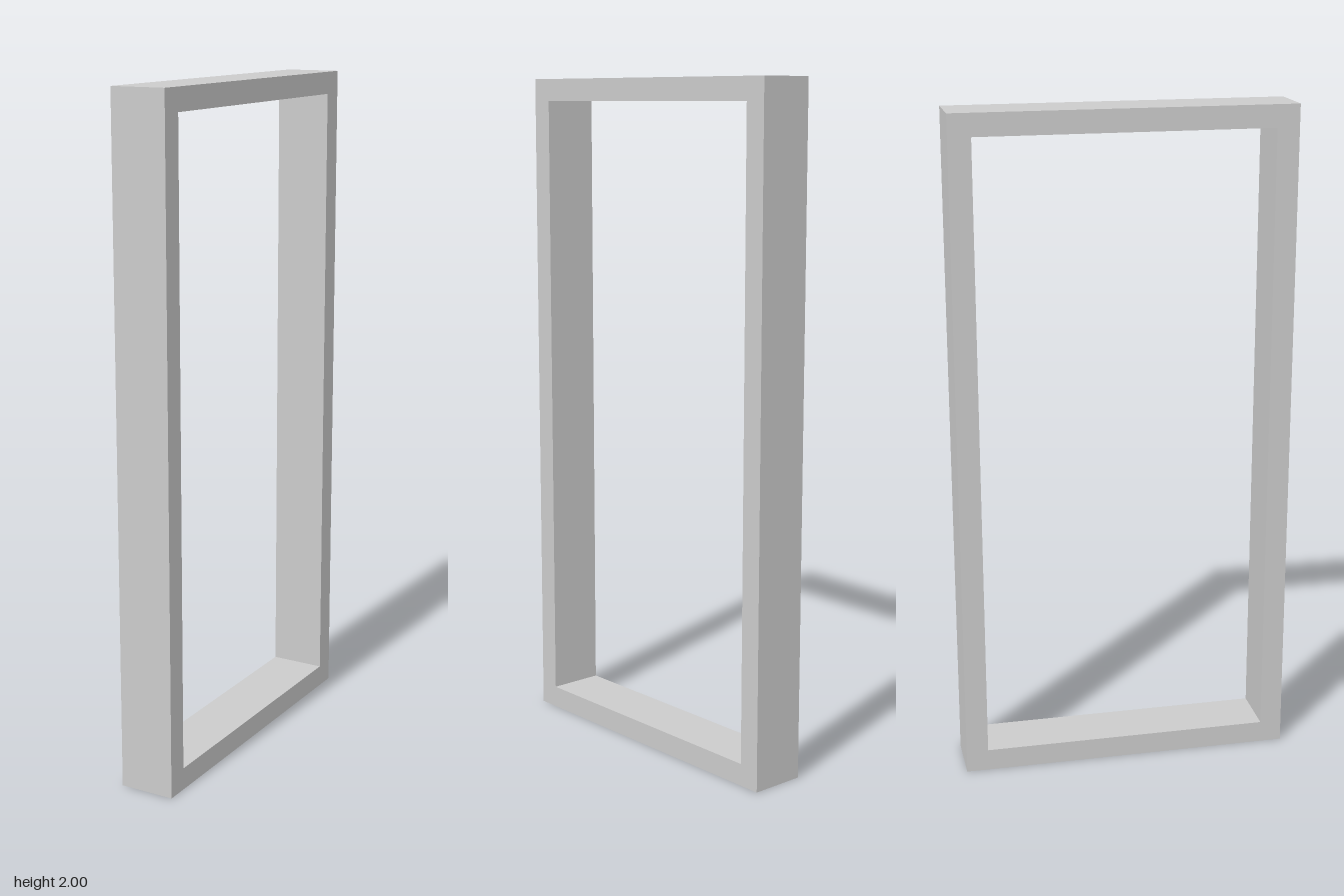
import * as THREE from 'three';

const HEIGHT = 2, WIDTH = 1, DEPTH = 0.167, BORDER = 0.066;

// Adds a rectangle centred on x = 0 to a shape or path
function rectangle(path, halfWidth, bottom, top) {
  path.moveTo(-halfWidth, bottom);
  path.lineTo(halfWidth, bottom);
  path.lineTo(halfWidth, top);
  path.lineTo(-halfWidth, top);
  path.closePath();
  return path;
}

export function createModel() {
  const group = new THREE.Group();
  group.name = 'doorFrame';

  // Rectangular frame with an open middle, extruded and turned to face sideways
  const outline = rectangle(new THREE.Shape(), WIDTH / 2, 0, HEIGHT);
  outline.holes.push(rectangle(new THREE.Path(), WIDTH / 2 - BORDER, BORDER, HEIGHT - BORDER));
  const geometry = new THREE.ExtrudeGeometry(outline, { depth: DEPTH, bevelEnabled: false });
  geometry.translate(0, 0, -DEPTH / 2);
  geometry.rotateY(Math.PI / 2);

  const frame = new THREE.Mesh(geometry, new THREE.MeshStandardMaterial({ color: 0xcccccc }));
  frame.name = 'frame';
  group.add(frame);
  return group;
}
